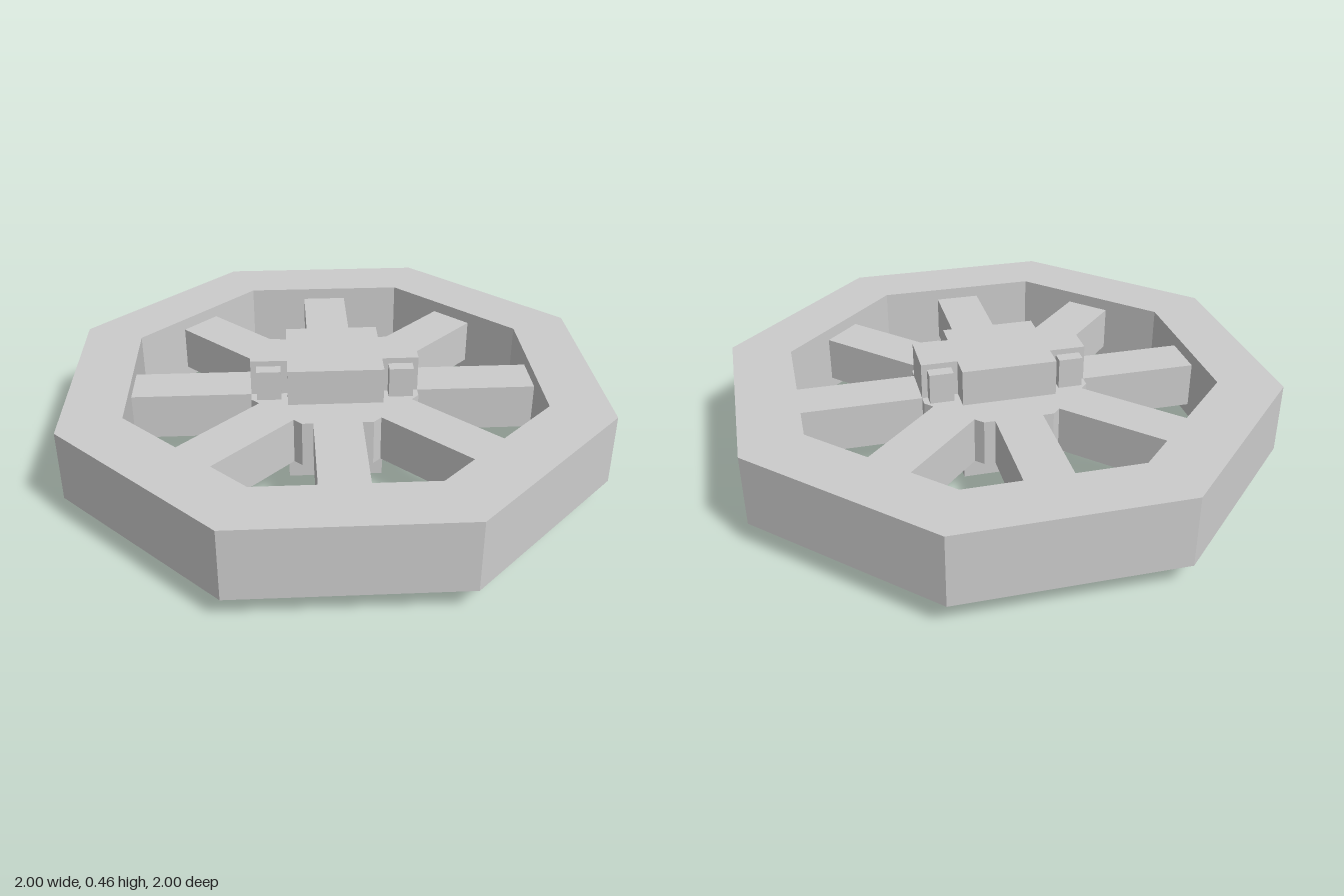
import * as THREE from 'three';

const grey = new THREE.MeshStandardMaterial({ color: 0xcccccc });
grey.name = 'grey';

const T = Math.tan(Math.PI / 8); // half side of an octagon per unit of apothem
const MID = 0.23;                // height of the wheel's middle plane

// Repeats a few (radial, sideways) points around the centre
function radialOutline(count, pts) {
  const out = [];
  for (let k = 0; k < count; k++) {
    const a = (k * 2 * Math.PI) / count, c = Math.cos(a), s = Math.sin(a);
    for (const [r, w] of pts) out.push(new THREE.Vector2(r * c - w * s, r * s + w * c));
  }
  return out;
}

const octagon = (apothem) => radialOutline(8, [[apothem, apothem * T]]);

// Flat slab lying in the xz plane, centred on the middle plane
function slab(name, outline, height, hole) {
  const shape = new THREE.Shape(outline);
  if (hole) shape.holes.push(new THREE.Path(hole));
  const geo = new THREE.ExtrudeGeometry(shape, { depth: height, bevelEnabled: false });
  geo.translate(0, 0, -height / 2);
  geo.rotateX(-Math.PI / 2);
  const mesh = new THREE.Mesh(geo, grey);
  mesh.name = name;
  mesh.position.y = MID;
  return mesh;
}

export function createModel() {
  const wheel = new THREE.Group();
  wheel.name = 'wheel';

  // Octagonal rim
  wheel.add(slab('rim', octagon(1), 0.274, octagon(0.774)));

  // Octagonal hub with eight square spokes, in one outline
  const h = 0.318, w = 0.09;
  wheel.add(slab('hubAndSpokes', radialOutline(8, [
    [h, -w], [0.785, -w], [0.785, w], [h, w], [h, h * T],
  ]), 0.18));

  // Axle block: square core with a narrower bar sticking out along x
  const core = 0.18;
  const block = [
    [h, -w], [h, w], [core, w], [core, core], [-core, core], [-core, w],
    [-h, w], [-h, -w], [-core, -w], [-core, -core], [core, -core], [core, -w],
  ].map(([x, y]) => new THREE.Vector2(x, y));
  wheel.add(slab('axleBlock', block, MID * 2));

  // Small lugs on both sides of the bar
  const lugGeo = new THREE.BoxGeometry(0.092, 0.416, 0.06);
  for (const sx of [-1, 1]) for (const sz of [-1, 1]) {
    const lug = new THREE.Mesh(lugGeo, grey);
    lug.name = 'lug';
    lug.position.set(sx * 0.25, MID, sz * 0.108);
    wheel.add(lug);
  }
  return wheel;
}
